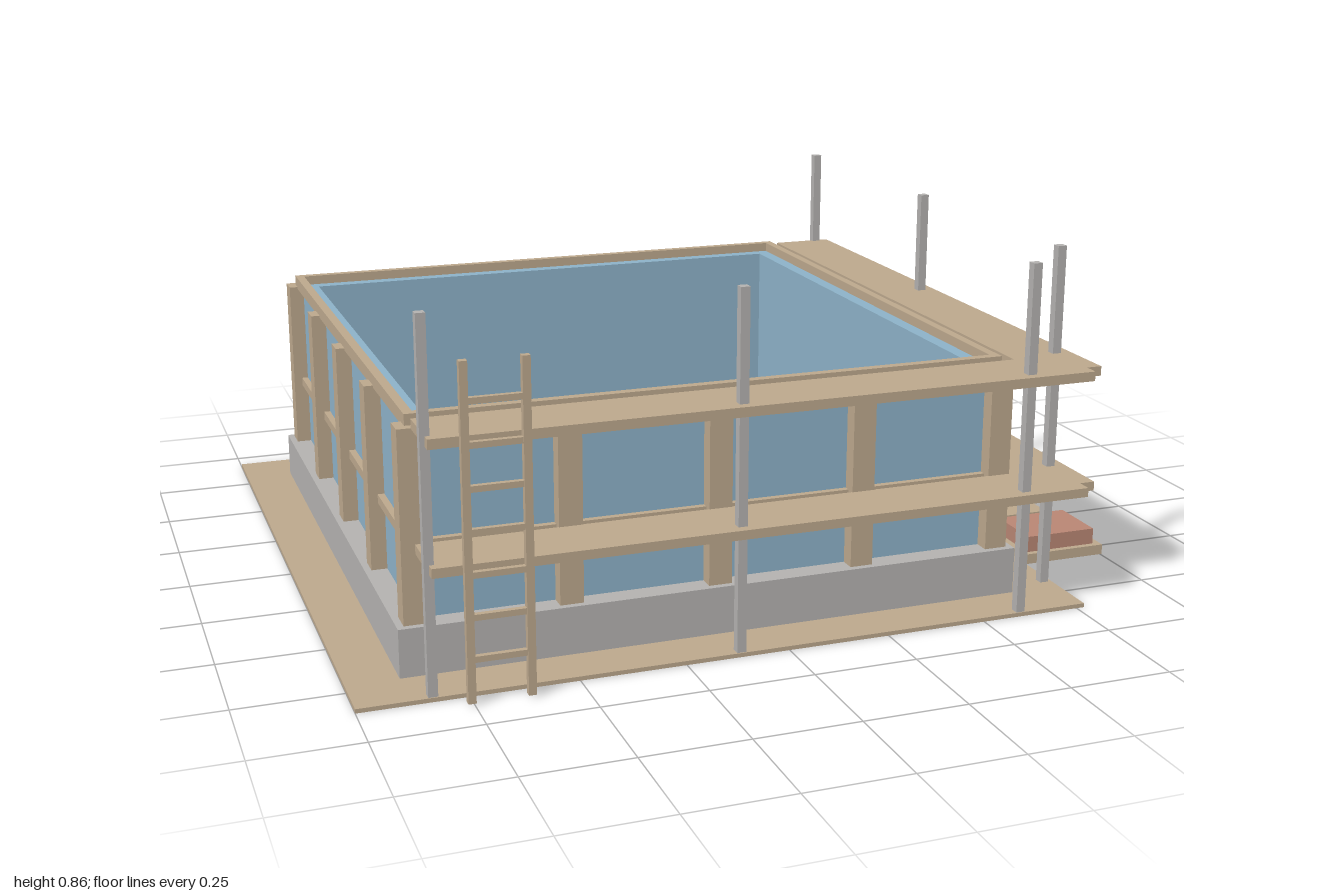
import * as THREE from 'three';

const mat = (name, color) => {
  const m = new THREE.MeshStandardMaterial({ color });
  m.name = name;
  return m;
};

export function createModel() {
  const model = new THREE.Group();
  model.name = 'scaffoldedBuilding';
  const timber = mat('timber', 0xbca88d);
  const concrete = mat('concrete', 0xb4b2b0);
  const glass = mat('bluePanel', 0x8db2c8);
  const brick = mat('brick', 0xb98674);

  // box given by its minimum and maximum corners
  const box = (name, m, x0, x1, y0, y1, z0, z1, parent = model) => {
    const mesh = new THREE.Mesh(new THREE.BoxGeometry(x1 - x0, y1 - y0, z1 - z0), m);
    mesh.position.set((x0 + x1) / 2, (y0 + y1) / 2, (z0 + z1) / 2);
    mesh.name = name;
    parent.add(mesh);
  };
  // flat outline in x and z (counter-clockwise from above), raised from y0 to y1
  const slab = (name, m, outline, y0, y1, hole) => {
    const toV = ([x, z]) => new THREE.Vector2(x, -z);
    const shape = new THREE.Shape(outline.map(toV));
    if (hole) shape.holes.push(new THREE.Path(hole.map(toV)));
    const g = new THREE.ExtrudeGeometry(shape, { depth: y1 - y0, bevelEnabled: false });
    g.rotateX(-Math.PI / 2);
    const mesh = new THREE.Mesh(g, m);
    mesh.position.y = y0;
    mesh.name = name;
    model.add(mesh);
  };

  // stud centre lines of the building
  const X0 = -0.834, X1 = 0.598, Z0 = -0.739, Z1 = 0.692;
  const rect = (d) => [[X0 - d, Z1 + d], [X1 + d, Z1 + d], [X1 + d, Z0 - d], [X0 - d, Z0 - d]];
  const ring = (name, m, outer, inner, y0, y1) => slab(name, m, rect(outer), y0, y1, rect(inner));

  // ground, plinth, floor and walls
  box('ground', timber, -1, 0.77, 0, 0.01, -0.91, 0.857);
  slab('plinth', concrete, rect(0.044), 0.005, 0.125);
  slab('floor', timber, rect(-0.045), 0.12, 0.14);
  ring('walls', glass, -0.01, -0.05, 0.124, 0.578);
  ring('midRail', timber, 0.006, -0.014, 0.29, 0.312);
  ring('topRim', timber, 0.006, -0.016, 0.57, 0.602);

  // studs around the walls
  const studs = new THREE.Group();
  studs.name = 'studs';
  model.add(studs);
  const h = 0.028;
  for (let i = 0; i <= 4; i++) {
    for (let j = 0; j <= 4; j++) {
      if (i % 4 && j % 4) continue;
      const x = X0 + (X1 - X0) * i / 4, z = Z0 + (Z1 - Z0) * j / 4;
      box('stud', timber, x - h, x + h, 0.125, 0.576, z - h, z + h, studs);
    }
  }

  // scaffold decks on the front and left sides
  const deck = [[-0.83, 0.718], [-0.83, 0.877], [0.75, 0.877], [0.75, 0.84],
    [0.788, 0.84], [0.788, -0.737], [0.625, -0.737], [0.625, 0.718]];
  slab('lowerDeck', timber, deck, 0.29, 0.312);
  slab('upperDeck', timber, deck, 0.574, 0.597);

  // scaffold poles
  const p = 0.011;
  for (const [x, z] of [[-0.83, 0.843], [-0.117, 0.843], [0.598, 0.843],
    [0.75, 0.692], [0.75, -0.023], [0.75, -0.737]]) {
    box('scaffoldPole', concrete, x - p, x + p, 0.005, 0.86, z - p, z + p);
  }

  // ladder
  const ladder = new THREE.Group();
  ladder.name = 'ladder';
  model.add(ladder);
  for (const x of [-0.756, -0.622]) {
    box('ladderRail', timber, x - 0.009, x + 0.009, 0.005, 0.765, 0.888, 0.905, ladder);
  }
  for (let i = 0; i < 7; i++) {
    const y = 0.105 + i * 0.0955;
    box('rung', timber, -0.75, -0.63, y - 0.007, y + 0.007, 0.89, 0.903, ladder);
  }

  // stacked boards and brick pallet beside the building
  box('boardStack', timber, 0.771, 1, 0.003, 0.026, -0.14, 0.279);
  box('pallet', timber, 0.771, 1, 0.003, 0.029, 0.377, 0.564);
  box('brickStack', brick, 0.79, 0.98, 0.028, 0.07, 0.396, 0.549);
  return model;
}
